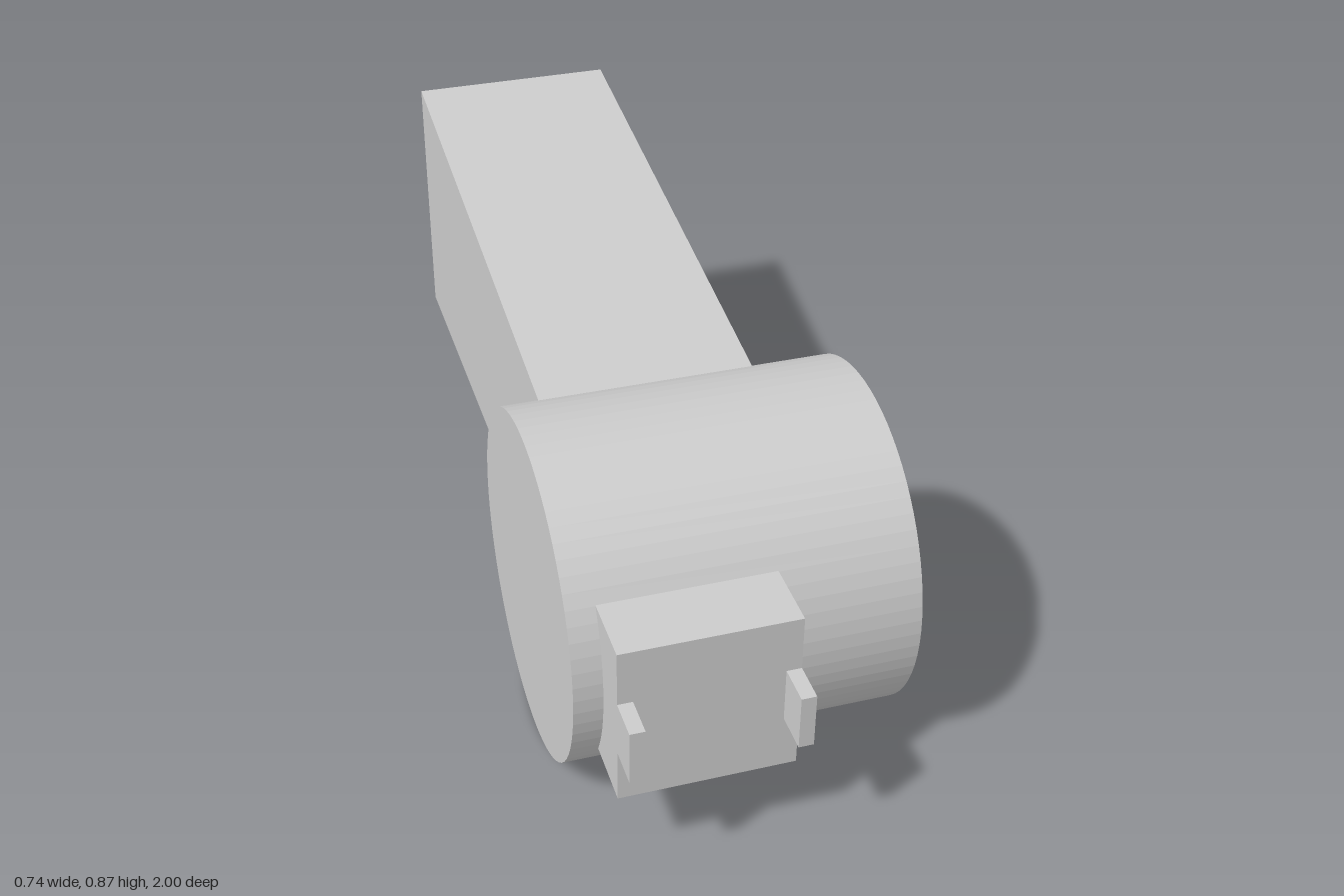
import * as THREE from 'three';

export function createModel() {
  const group = new THREE.Group();
  const material = new THREE.MeshStandardMaterial({ color: 0xcccccc, flatShading: true });

  const add = (name, geometry) => {
    const mesh = new THREE.Mesh(geometry, material);
    mesh.name = name;
    group.add(mesh);
  };

  // Box given by its lower and upper limits on each axis
  const addBox = (name, [x0, x1], [y0, y1], [z0, z1]) => {
    const geometry = new THREE.BoxGeometry(x1 - x0, y1 - y0, z1 - z0);
    geometry.translate((x0 + x1) / 2, (y0 + y1) / 2, (z0 + z1) / 2);
    add(name, geometry);
  };

  // Drum lying across the model
  const drum = new THREE.CylinderGeometry(0.381, 0.381, 0.738, 72);
  drum.rotateZ(Math.PI / 2).translate(0, 0.381, 0.435);
  add('drum', drum);

  // Rear arm: side profile as [z, y], widening to the back, with a step below
  const profile = [
    [0.4, 0.13], [0.01, 0.13], [0.01, 0.25], [-1, 0.25],
    [-1, 0.866], [0.228, 0.706], [0.4, 0.684],
  ];
  const shape = new THREE.Shape(profile.map(([z, y]) => new THREE.Vector2(-z, y)));
  const arm = new THREE.ExtrudeGeometry(shape, { depth: 0.478, bevelEnabled: false });
  arm.rotateY(Math.PI / 2).translate(-0.286, 0, 0);
  add('arm', arm);

  // Front block with a tab at each side
  addBox('frontBlock', [-0.307, 0.069], [0.196, 0.573], [0.6, 0.915]);
  addBox('rightTab', [-0.307, -0.275], [0.321, 0.447], [0.915, 1]);
  addBox('leftTab', [0.037, 0.069], [0.321, 0.447], [0.915, 1]);

  return group;
}
